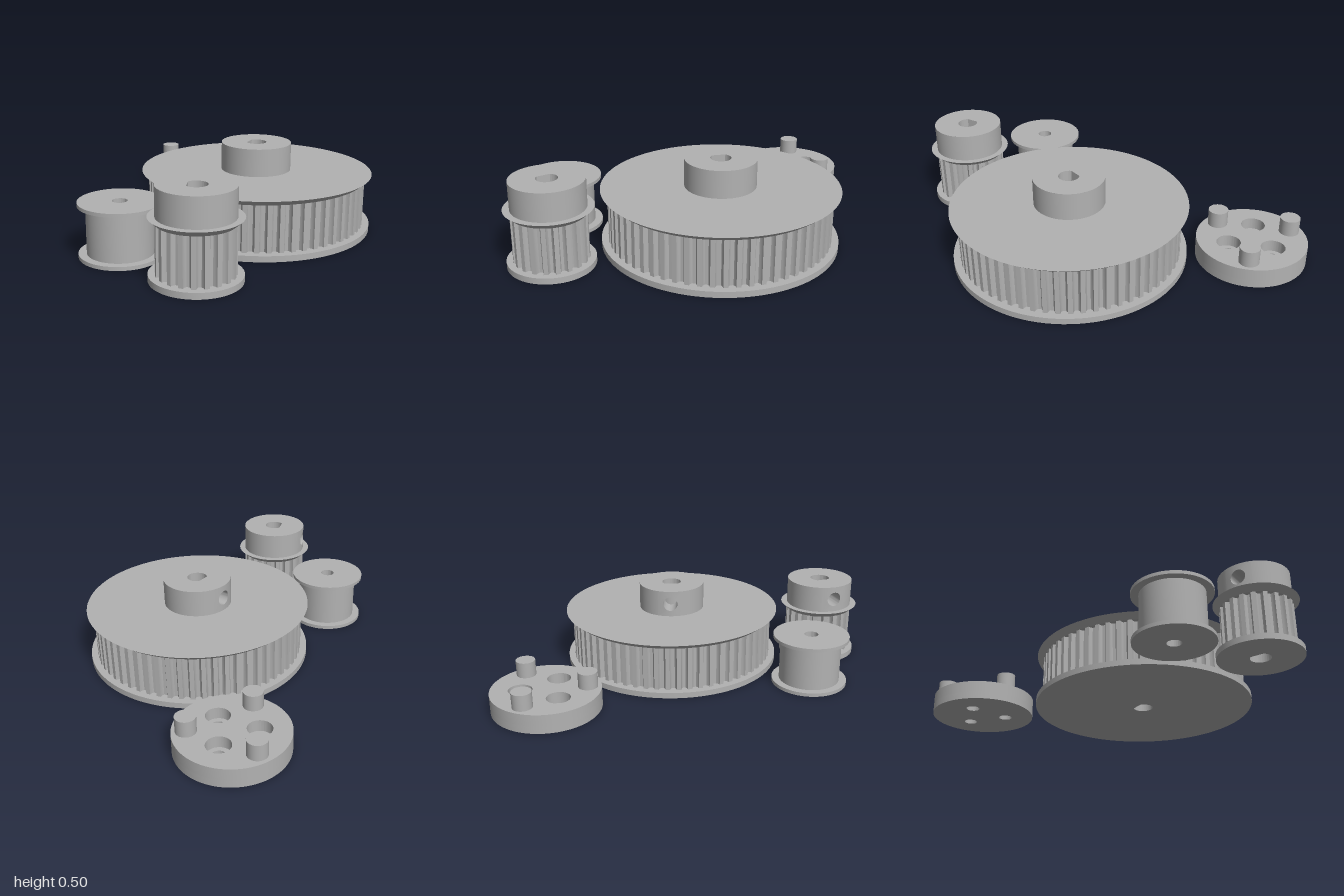
import * as THREE from 'three';
import { toCreasedNormals } from 'three/addons/utils/BufferGeometryUtils.js';

const grey = new THREE.MeshStandardMaterial({ color: 0xb2b2b2 });
grey.name = 'grey plastic';
const CREASE = 0.5;

function part(parent, name, geometry) {
  const mesh = new THREE.Mesh(geometry, grey);
  mesh.name = name;
  parent.add(mesh);
  return mesh;
}

function group(parent, name, x, z) {
  const g = new THREE.Group();
  g.name = name;
  g.position.set(x, 0, z);
  parent.add(g);
  return g;
}

// Outlines are drawn in plan, with shape y = -z
function circle(r, x = 0, z = 0, Kind = THREE.Shape) {
  const s = new Kind();
  s.absarc(x, -z, r, 0, Math.PI * 2);
  return s;
}

// Round bore with a flat facing direction t (t = 0 is +z, growing towards +x)
function flatBore(t) {
  const r = 0.06, half = Math.acos(0.046 / r);
  const dir = Math.atan2(-Math.cos(t), Math.sin(t));
  const p = new THREE.Path();
  p.absarc(0, 0, r, dir + half, dir + Math.PI * 2 - half);
  p.closePath();
  return p;
}

// Ring of lands with rounded belt grooves between them
function toothOutline(teeth, r, depth) {
  const groove = [[-0.31, 0], [-0.27, 0.55], [-0.14, 1], [0.14, 1], [0.27, 0.55], [0.31, 0]];
  const pts = [];
  for (let i = 0; i < teeth; i++) {
    for (const [f, d] of groove) {
      const a = ((i + f) / teeth) * Math.PI * 2;
      const q = r - d * depth;
      pts.push(new THREE.Vector2(Math.cos(a) * q, Math.sin(a) * q));
    }
  }
  return new THREE.Shape(pts);
}

// Vertical extrusion of an outline between two heights
function slab(shape, holes, y0, y1) {
  shape.holes.push(...holes);
  const g = new THREE.ExtrudeGeometry(shape, { depth: y1 - y0, bevelEnabled: false, curveSegments: 48 });
  g.rotateX(-Math.PI / 2).translate(0, y0, 0);
  return toCreasedNormals(g, CREASE);
}

function lathe(points, segments = 96) {
  const g = new THREE.LatheGeometry(points.map(([r, y]) => new THREE.Vector2(r, y)), segments);
  return toCreasedNormals(g, CREASE);
}

// Curved patch of hub wall with a radial screw hole running inwards
function screwPatch(R, depthR, y, half, holeR, t) {
  const g = new THREE.PlaneGeometry(1, 1, 40, 3);
  const p = g.attributes.position;
  for (let i = 0; i < p.count; i++) {
    const row = Math.floor(i / 41);
    const a = -((i % 41) / 40) * Math.PI * 2;
    const c = Math.cos(a), s = Math.sin(a);
    const edge = half / Math.max(Math.abs(c), Math.abs(s));
    const q = [edge, (edge + holeR) / 2, holeR, holeR][row];
    const u = c * q, rad = row === 3 ? depthR : R;
    // the hole keeps its width as it goes in
    const ang = t + (row === 3 ? Math.asin(R * Math.sin(u / R) / rad) : u / R);
    p.setXYZ(i, Math.sin(ang) * rad, y + s * q, Math.cos(ang) * rad);
  }
  return toCreasedNormals(g, CREASE);
}

function pulley(parent, name, x, z, teeth, toothR, flangeR, t) {
  const g = group(parent, name, x, z);
  const hubR = 0.207, coreR = 0.09, y0 = 0.035, y1 = 0.305, y2 = 0.337, top = 0.5;
  const depth = 0.026;
  part(g, 'bottomFlange', slab(circle(flangeR), [flatBore(t)], 0, y0));
  part(g, 'teeth', slab(toothOutline(teeth, toothR, depth), [flatBore(t)], y0, y1));
  part(g, 'topFlange', lathe([[toothR - depth - 0.01, y1], [toothR, y1], [flangeR, y2], [hubR - 0.01, y2]]));
  // hub: bored core, top ring, wall and screw hole
  const half = (top - y2) / 2, w = half / hubR;
  part(g, 'hubCore', slab(circle(coreR), [flatBore(t)], y1, top));
  part(g, 'hubTop', lathe([[hubR, top], [coreR, top]]));
  const wall = new THREE.CylinderGeometry(hubR, hubR, top - y2, 80, 1, true, t + w, Math.PI * 2 - 2 * w);
  part(g, 'hubWall', wall.translate(0, (top + y2) / 2, 0));
  part(g, 'screwHole', screwPatch(hubR, coreR, (top + y2) / 2, half, 0.045, t));
}

export function createModel() {
  const model = new THREE.Group();
  model.name = 'pulleySet';

  pulley(model, 'largePulley', 0.315, -0.255, 60, 0.645, 0.685, Math.atan2(-0.93, 0.36));
  pulley(model, 'smallPulley', 0.755, 0.62, 20, 0.209, 0.245, Math.atan2(-0.75, 0.66));

  // Smooth idler spool
  const idler = group(model, 'idler', 0.235, 0.704);
  const b = 0.042, f = 0.23, d = 0.185;
  part(idler, 'spool', lathe([[b, 0], [f, 0], [f, 0.022], [d, 0.022], [d, 0.29],
    [f, 0.29], [f, 0.31], [b, 0.31], [b, 0]]));

  // Peg disc with three counterbored holes and three pegs
  const disc = group(model, 'pegDisc', -0.678, -0.619);
  const step = 0.045, height = 0.115, third = Math.PI * 2 / 3;
  const holes = (r) => [0, 1, 2].map((i) =>
    circle(r, 0.146 * Math.cos(i * third), 0.146 * Math.sin(i * third), THREE.Path));
  part(disc, 'discBase', slab(circle(0.322), holes(0.041), 0, step));
  part(disc, 'discTop', slab(circle(0.322), holes(0.07), step, height));
  for (let i = 0; i < 3; i++) {
    const a = Math.PI + i * third;
    const peg = part(disc, 'peg', new THREE.CylinderGeometry(0.058, 0.058, 0.11, 40));
    peg.position.set(0.242 * Math.cos(a), 0.155, 0.242 * Math.sin(a));
  }
  return model;
}
